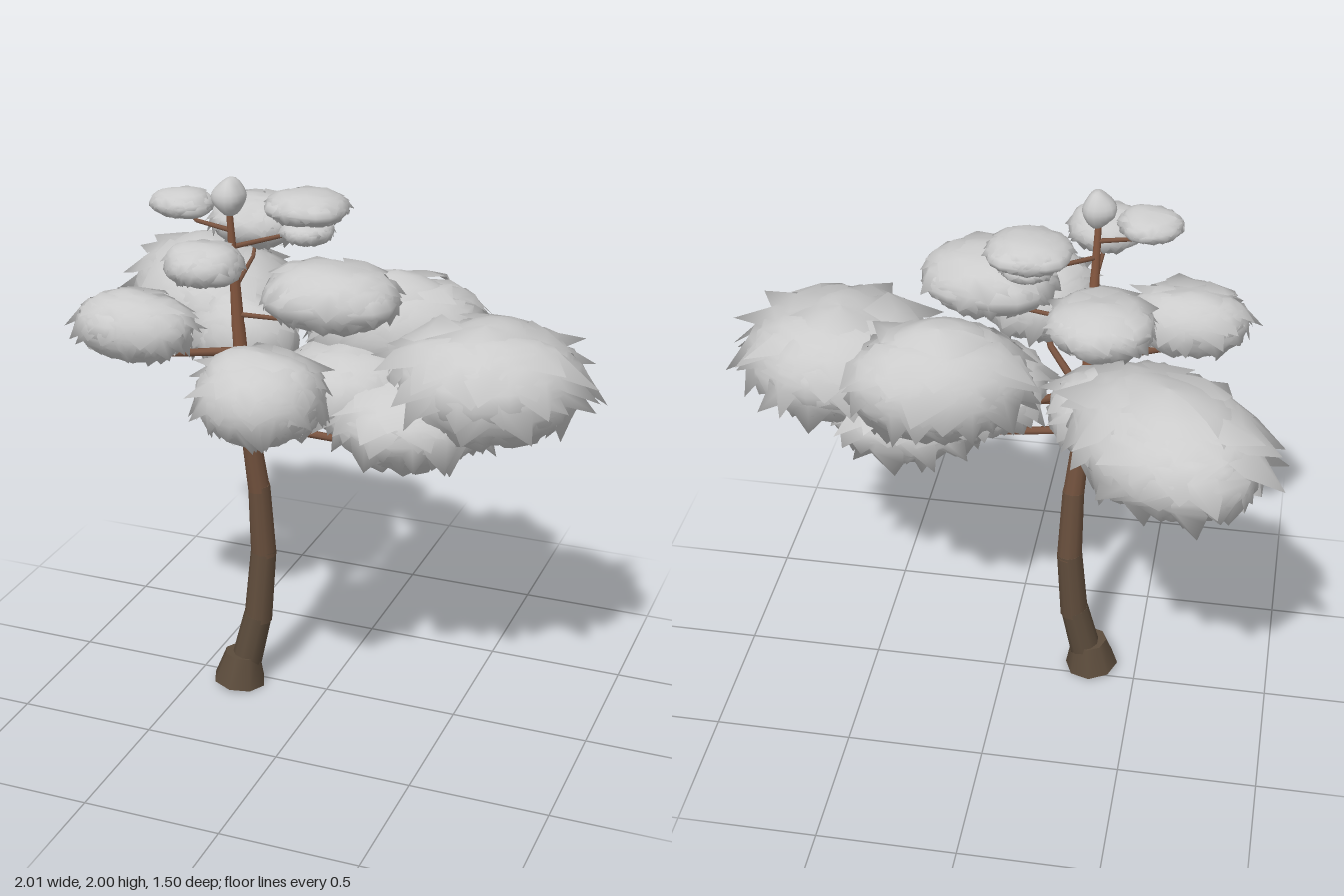
import * as THREE from 'three';

// Seeded random numbers
function seeded(seed) {
  let s = seed * 7919 + 17;
  return () => {
    s = (s * 16807) % 2147483647;
    return s / 2147483647;
  };
}

const V = (x, y, z) => new THREE.Vector3(x, y, z);
const leafMat = new THREE.MeshStandardMaterial({ color: 0xcccccc, side: THREE.DoubleSide });

// Trunk sections: x, y, z, radius
const TRUNK = [
  [-0.31, 0.08, 0.05, 0.058], [-0.26, 0.28, 0.038, 0.052], [-0.238, 0.55, 0.027, 0.047],
  [-0.245, 0.82, 0.045, 0.04], [-0.27, 1.08, 0.075, 0.032], [-0.28, 1.25, 0.09, 0.027],
  [-0.286, 1.45, 0.11, 0.023], [-0.29, 1.68, 0.13, 0.016], [-0.295, 1.9, 0.15, 0.01],
];

// Foliage clusters: centre, radii, turn about y, raggedness, height where the branch leaves the trunk
const CLUSTERS = [
  { c: [0.58, 1.35, 0.02], r: [0.34, 0.22, 0.31], turn: 0, rag: 1, from: 1.2 },
  { c: [0.33, 1.2, 0.02], r: [0.3, 0.18, 0.34], turn: 0, rag: 1, from: 1.08 },
  { c: [0.19, 1.42, -0.2], r: [0.32, 0.2, 0.23], turn: 0.25, rag: 1, from: 1.24 },
  { c: [0.1, 1.27, 0.02], r: [0.25, 0.16, 0.25], turn: 0, rag: 0.9, from: null },
  { c: [-0.6, 1.385, -0.38], r: [0.38, 0.21, 0.29], turn: -0.8, rag: 1, from: 1.12 },
  { c: [-0.38, 1.33, -0.17], r: [0.21, 0.17, 0.18], turn: 0, rag: 0.8, from: null },
  { c: [-0.61, 1.47, 0.26], r: [0.22, 0.13, 0.16], turn: 0, rag: 0.9, from: 1.36 },
  { c: [-0.04, 1.38, 0.5], r: [0.22, 0.165, 0.22], turn: 0, rag: 0.9, from: 1.2 },
  { c: [0.08, 1.63, 0.16], r: [0.25, 0.13, 0.2], turn: 0, rag: 0.5, from: 1.5 },
  { c: [-0.36, 1.73, -0.26], r: [0.18, 0.1, 0.18], turn: 0, rag: 0.8, from: 1.6 },
  { c: [-0.3, 1.755, 0.35], r: [0.14, 0.08, 0.14], turn: 0, rag: 0.4, from: 1.66 },
  { c: [-0.09, 1.86, -0.05], r: [0.155, 0.07, 0.14], turn: 0, rag: 0.3, from: 1.75 },
  { c: [-0.08, 1.785, -0.02], r: [0.1, 0.05, 0.1], turn: 0, rag: 0.4, from: null },
  { c: [-0.47, 1.89, 0.14], r: [0.12, 0.055, 0.11], turn: 0, rag: 0.1, from: 1.81 },
  { c: [-0.295, 1.93, 0.15], r: [0.062, 0.07, 0.06], turn: 0, rag: 0, from: null },
];

// Point on the trunk centre line at a height
function trunkAt(y) {
  const i = TRUNK.findIndex((p) => p[1] >= y);
  const [a, b] = [TRUNK[i - 1], TRUNK[i]];
  return V(a[0], a[1], a[2]).lerp(V(b[0], b[1], b[2]), (y - a[1]) / (b[1] - a[1]));
}

// Tapered cylinder between two points
function limb(name, a, b, ra, rb, sides, color) {
  const d = b.clone().sub(a);
  const mesh = new THREE.Mesh(
    new THREE.CylinderGeometry(rb, ra, d.length(), sides),
    new THREE.MeshStandardMaterial({ color }),
  );
  mesh.name = name;
  mesh.position.copy(a).lerp(b, 0.5);
  mesh.quaternion.setFromUnitVectors(V(0, 1, 0), d.normalize());
  return mesh;
}

// Lumpy rounded body of a cluster
function crownCore(r, scale, rand) {
  const geo = new THREE.SphereGeometry(1, 18, 12);
  const p = geo.attributes.position;
  const [f, g, h] = [rand() * 6, rand() * 6, rand() * 6];
  for (let i = 0; i < p.count; i++) {
    const [x, y, z] = [p.getX(i), p.getY(i), p.getZ(i)];
    const k = scale * (1 + 0.06 * Math.sin(4 * x + f) + 0.05 * Math.sin(5 * y + g) + 0.06 * Math.sin(4 * z + h));
    p.setXYZ(i, x * r[0] * k, y * r[1] * k, z * r[2] * k);
  }
  geo.computeVertexNormals();
  return geo;
}

// Broad pointed leaf sheets over the body, jutting out furthest around the middle, with rounded shading
function leafSheets(r, rag, rand) {
  const pos = [], nor = [], idx = [];
  const count = Math.round(36 + 64 * rag);
  const put = (phi, lat, k) => {
    const n = V(Math.cos(lat) * Math.sin(phi), Math.sin(lat), Math.cos(lat) * Math.cos(phi));
    pos.push(n.x * r[0] * k, n.y * r[1] * k, n.z * r[2] * k);
    n.set(n.x / r[0], n.y / r[1], n.z / r[2]).normalize();
    nor.push(n.x, n.y, n.z);
  };
  for (let i = 0; i < count; i++) {
    const phi = i * 2.39996 + rand() * 0.5;
    const lat = Math.asin(0.85 - 1.6 * (i + 0.5) / count);
    const w = (0.22 + 0.2 * rand()) / Math.max(0.5, Math.cos(lat));
    const len = 0.3 + 0.4 * rand();
    const skew = (rand() - 0.5) * 0.6;
    const reach = rag * Math.max(0.25, Math.cos(lat - len));
    const tip = 0.95 + reach * (0.02 + 0.34 * rand() ** 1.4);
    const base = pos.length / 3;
    const side = () => 0.87 + 0.15 * rag * rand();
    put(phi, lat + 0.35, 0.82);
    put(phi - w, lat, side());
    put(phi, lat, 0.95 + 0.07 * rag * rand());
    put(phi + w, lat, side());
    put(phi - w * 0.6 + skew * 0.6, lat - len * 0.55, side() + 0.03);
    put(phi + skew, lat - len, tip);
    put(phi + w * 0.6 + skew * 0.6, lat - len * 0.55, side() + 0.03);
    for (const t of [[0, 1, 2], [0, 2, 3], [1, 4, 2], [2, 4, 5], [2, 5, 6], [2, 6, 3]]) {
      idx.push(...t.map((j) => base + j));
    }
  }
  const geo = new THREE.BufferGeometry();
  geo.setAttribute('position', new THREE.Float32BufferAttribute(pos, 3));
  geo.setAttribute('normal', new THREE.Float32BufferAttribute(nor, 3));
  geo.setIndex(idx);
  return geo;
}

function foliage({ c, r, turn, rag }, i) {
  const rand = seeded(i + 3);
  const group = new THREE.Group();
  group.name = 'foliageCluster';
  const core = new THREE.Mesh(crownCore(r, rag > 0.05 ? 0.89 : 0.95, rand), leafMat);
  core.name = 'foliageBody';
  group.add(core);
  if (rag > 0.05) {
    const sheets = new THREE.Mesh(leafSheets(r, rag, rand), leafMat);
    sheets.name = 'leafSheets';
    group.add(sheets);
  }
  group.position.set(...c);
  group.rotation.y = turn;
  return group;
}

// Branch that runs out from the trunk and bends up into its cluster
function branch({ c, r, from }) {
  const group = new THREE.Group();
  group.name = 'branch';
  const start = trunkAt(from);
  const end = V(...c);
  const bend = start.clone().lerp(end, 0.72);
  bend.y = Math.min(from + 0.02, c[1] - r[1] * 0.85);
  const thick = from < 1.4 ? 0.016 : 0.009;
  const mid = bend.clone().lerp(end, 0.3);
  group.add(limb('branchArm', start, bend, thick, thick * 0.8, 7, 0x7a5440));
  group.add(limb('branchElbow', bend, mid, thick * 0.8, thick * 0.7, 7, 0x7a5440));
  group.add(limb('branchTip', mid, end, thick * 0.7, thick * 0.4, 7, 0x7a5440));
  return group;
}

export function createModel() {
  const tree = new THREE.Group();
  tree.name = 'tree';

  // Flared foot
  tree.add(limb('trunkFoot', V(-0.33, 0.009, 0.06), V(-0.318, 0.125, 0.055), 0.1, 0.066, 8, 0x5c4c3c));

  // Trunk in tapering sections, redder towards the top
  const low = new THREE.Color(0x5c4c3c), high = new THREE.Color(0x85573f);
  for (let i = 0; i < TRUNK.length - 1; i++) {
    const [a, b] = [TRUNK[i], TRUNK[i + 1]];
    const color = low.clone().lerp(high, Math.min(1, (i / 5) ** 1.5));
    tree.add(limb('trunkSection', V(a[0], a[1] - 0.01, a[2]), V(b[0], b[1] + 0.01, b[2]), a[3], b[3], 10, color));
  }

  CLUSTERS.forEach((cl, i) => {
    tree.add(foliage(cl, i));
    if (cl.from) tree.add(branch(cl));
  });
  return tree;
}
